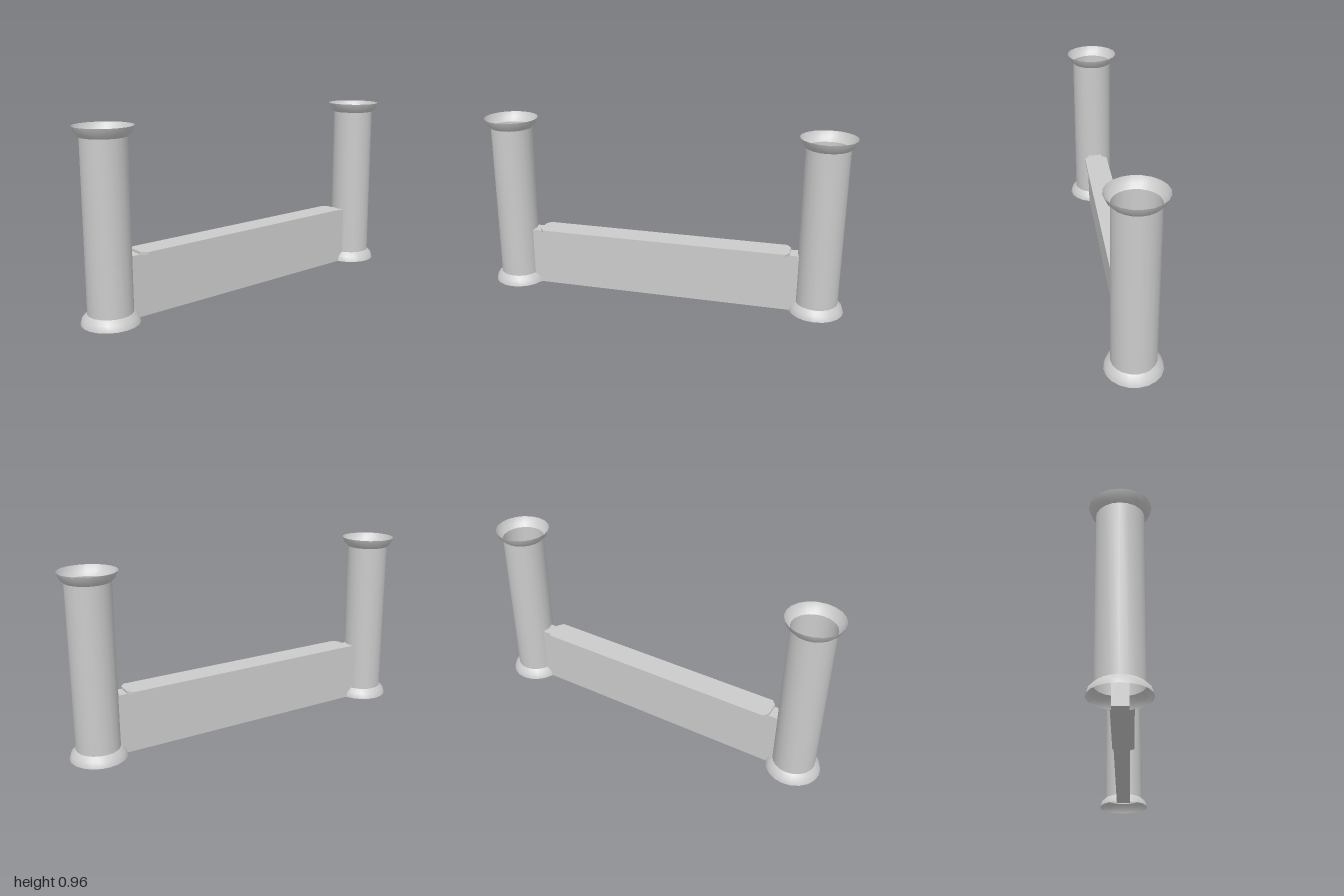
import * as THREE from 'three';
import { toCreasedNormals } from 'three/addons/utils/BufferGeometryUtils.js';

export function createModel() {
  const model = new THREE.Group();
  const material = new THREE.MeshStandardMaterial({ color: 0xcccccc });
  const thin = new THREE.MeshStandardMaterial({ color: 0xcccccc, side: THREE.DoubleSide });

  const add = (name, geometry, mat, x = 0, y = 0) => {
    const mesh = new THREE.Mesh(geometry, mat);
    mesh.name = name;
    mesh.position.set(x, y, 0);
    model.add(mesh);
  };

  // Hollow open columns with a flared foot and rim
  const profile = [
    [0.146, 0], [0.137, 0.03], [0.113, 0.052],
    [0.113, 0.907], [0.133, 0.927], [0.146, 0.958],
  ].map(([r, y]) => new THREE.Vector2(r, y));
  const column = toCreasedNormals(new THREE.LatheGeometry(profile, 20), 0.6);
  add('leftColumn', column, thin, 0.854);
  add('rightColumn', column, thin, -0.854);

  // Low wall whose ends run into the columns
  add('wall', new THREE.BoxGeometry(1.52, 0.32, 0.08), material, 0, 0.16);

  // Thin overhanging coping with chamfered ends
  const outline = new THREE.Shape([
    [-0.7, -0.038], [-0.677, -0.068], [0.677, -0.068], [0.7, -0.038],
    [0.7, 0.038], [0.677, 0.068], [-0.677, 0.068], [-0.7, 0.038],
  ].map(([x, z]) => new THREE.Vector2(x, z)));
  const coping = new THREE.ExtrudeGeometry(outline, { depth: 0.015, bevelEnabled: false });
  coping.rotateX(-Math.PI / 2);
  add('coping', coping, material, 0, 0.318);

  return model;
}
